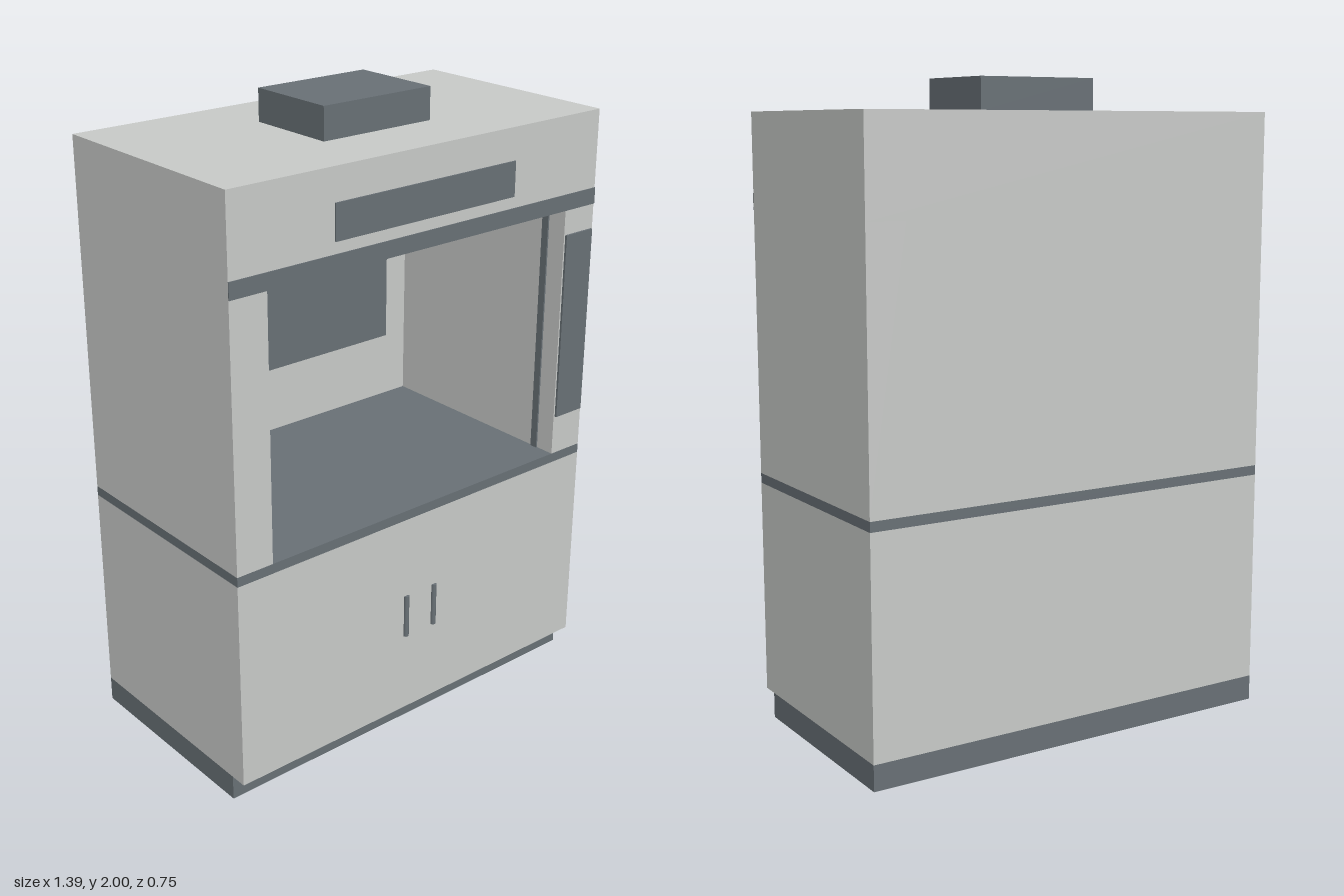
import * as THREE from 'three';

const paintedSteel = new THREE.MeshStandardMaterial({ color: 0xc8cac8 });
paintedSteel.name = 'paintedSteel';
const darkGrey = new THREE.MeshStandardMaterial({ color: 0x687075 });
darkGrey.name = 'darkGrey';

const W = 0.693;      // half width
const BACK = -0.375;
const FRONT = 0.365;
const INNER = 0.568;  // half width of the chamber

export function createModel() {
  const model = new THREE.Group();
  model.name = 'fumeHood';

  // Box given by its limits on each axis
  const box = (name, material, [x0, x1], [y0, y1], [z0, z1]) => {
    const mesh = new THREE.Mesh(new THREE.BoxGeometry(x1 - x0, y1 - y0, z1 - z0), material);
    mesh.position.set((x0 + x1) / 2, (y0 + y1) / 2, (z0 + z1) / 2);
    mesh.name = name;
    model.add(mesh);
    return mesh;
  };

  // Base cabinet: recessed plinth and two cupboards
  box('plinth', darkGrey, [-W, W], [0, 0.08], [BACK, 0.31]);
  box('rightCupboard', paintedSteel, [-W, 0], [0.08, 0.755], [BACK, FRONT]);
  box('leftCupboard', paintedSteel, [0, W], [0.08, 0.755], [BACK, FRONT]);
  box('worktop', darkGrey, [-W, W], [0.755, 0.786], [BACK, FRONT]);

  // Open working chamber
  box('backWall', paintedSteel, [-INNER, INNER], [0.786, 1.605], [BACK, -0.364]);
  box('baffle', darkGrey, [-0.48, 0.48], [1.005, 1.437], [-0.364, -0.358]);
  box('baffleSlot', darkGrey, [-0.48, 0.48], [1.583, 1.589], [-0.364, -0.36]);

  // Mirrored side walls, sash tracks and door handles
  for (const [label, s] of [['left', 1], ['right', -1]]) {
    const span = (a, b) => [Math.min(a * s, b * s), Math.max(a * s, b * s)];
    box(label + 'SideWall', paintedSteel, span(INNER, W), [0.786, 1.605], [BACK, FRONT]);
    box(label + 'SashTrack', darkGrey, span(INNER - 0.005, INNER), [0.786, 1.605], [0.275, 0.3]);

    const handle = new THREE.Mesh(new THREE.CylinderGeometry(0.009, 0.009, 0.143, 16), darkGrey);
    handle.position.set(0.057 * s, 0.418, 0.366);
    handle.name = label + 'DoorHandle';
    model.add(handle);
  }

  // Hood with its front trim and panels
  box('hood', paintedSteel, [-W, W], [1.605, 1.9], [BACK, FRONT]);
  box('hoodTrim', darkGrey, [-W, W], [1.605, 1.656], [FRONT, 0.368]);
  box('displayPanel', darkGrey, [-0.338, 0.338], [1.692, 1.8], [FRONT, 0.37]);
  box('controlPanel', darkGrey, [0.573, 0.687], [0.917, 1.526], [FRONT, 0.372]);

  // Exhaust duct collar
  box('exhaustCollar', darkGrey, [-0.199, 0.199], [1.9, 2], [-0.155, 0.147]);

  return model;
}
